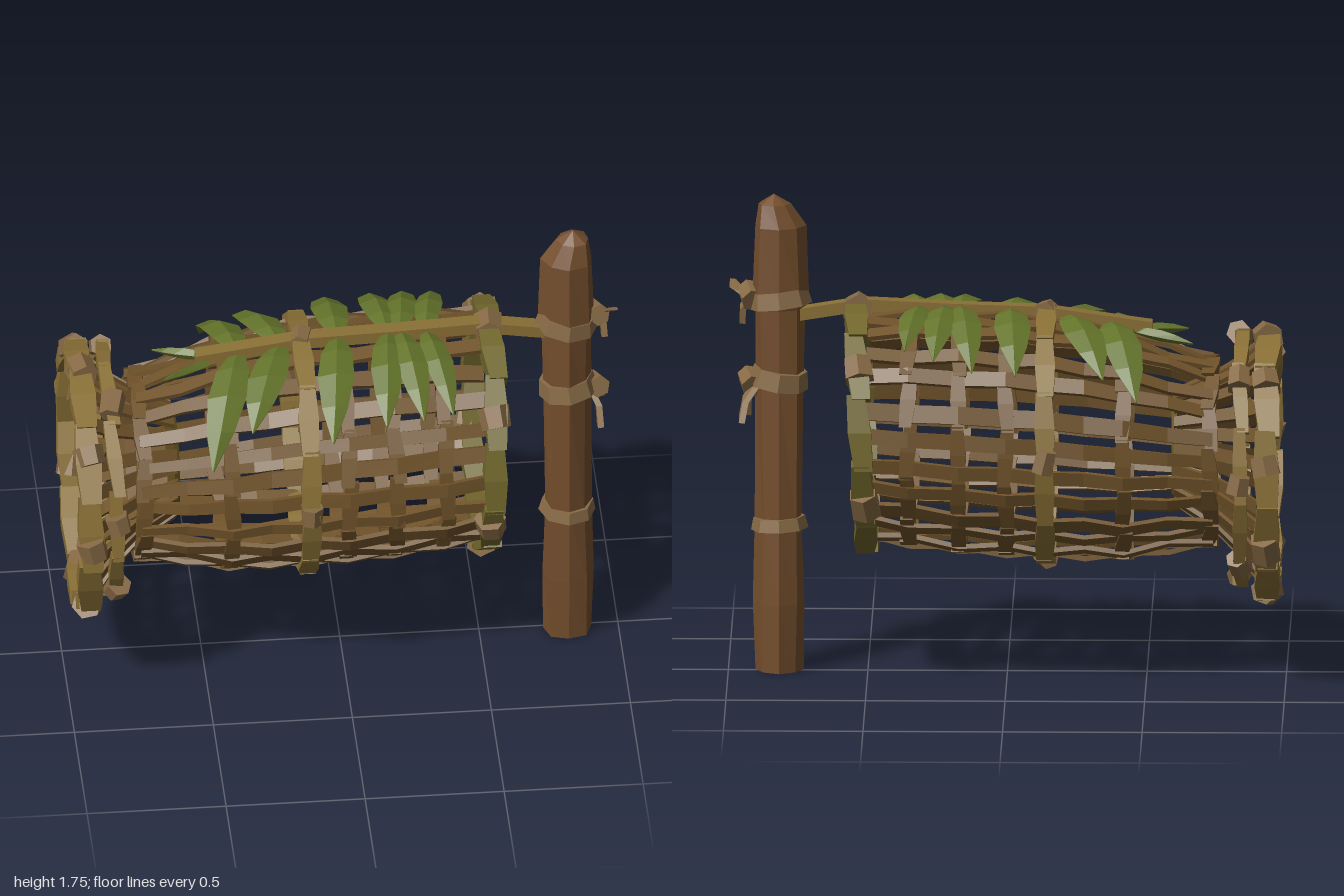
import * as THREE from 'three';
import { mergeGeometries } from 'three/addons/utils/BufferGeometryUtils.js';

const V = (x, y, z) => new THREE.Vector3(x, y, z);
let seed = 7;
const rnd = (a = 1) => { seed = (seed * 16807) % 2147483647; return (seed / 2147483647 - 0.5) * 2 * a; };

const mat = (color) => new THREE.MeshStandardMaterial({ color, flatShading: true, roughness: 0.9 });
const M = {
  slat: mat(0x70532a), hoop: mat(0x71672c), rim: mat(0x8a7036), post: mat(0x744e2d),
  tie: mat(0x876a45), leaf: mat(0x63732a), plug: mat(0x6a5620),
};

// Piecewise linear profiles along the basket axis
const lerpTable = (table, x) => {
  if (x <= table[0][0]) return table[0][1];
  for (let i = 1; i < table.length; i++) {
    const [x0, y0] = table[i - 1], [x1, y1] = table[i];
    if (x <= x1) return y0 + (y1 - y0) * (x - x0) / (x1 - x0);
  }
  return table[table.length - 1][1];
};
const axisY = (x) => lerpTable([[-0.93, 0.77], [-0.74, 0.81], [-0.13, 0.87], [0.52, 0.905]], x);
const bodyR = (x) => lerpTable([[-0.75, 0.33], [-0.58, 0.37], [-0.4, 0.415], [-0.1, 0.435], [0.2, 0.432], [0.52, 0.405]], x);
const radial = (a) => V(0, Math.cos(a), Math.sin(a));
const tangent = (a) => V(0, -Math.sin(a), Math.cos(a));
const at = (x, a, r) => V(x, axisY(x), 0).addScaledVector(radial(a), r);

// Four-sided bar through frames [centre, half width, half thickness]; diamond gives a ridged section
function bar(frames, diamond = false) {
  const pos = [], idx = [], n = frames.length;
  for (const [p, u, v] of frames) {
    const c = diamond ? [[1, 0], [0, 1], [-1, 0], [0, -1]] : [[1, 1], [-1, 1], [-1, -1], [1, -1]];
    for (const [a, b] of c) pos.push(...p.clone().addScaledVector(u, a).addScaledVector(v, b).toArray());
  }
  const [p0, u0, v0] = frames[0];
  const flip = u0.clone().cross(v0).dot(frames[1][0].clone().sub(p0)) < 0;
  const tri = (a, b, c) => (flip ? idx.push(a, c, b) : idx.push(a, b, c));
  for (let i = 0; i < n - 1; i++) for (let k = 0; k < 4; k++) {
    const a = i * 4 + k, b = i * 4 + (k + 1) % 4;
    tri(a, b, b + 4); tri(a, b + 4, a + 4);
  }
  const e = (n - 1) * 4;
  tri(0, 2, 1); tri(0, 3, 2); tri(e, e + 1, e + 2); tri(e, e + 2, e + 3);
  const g = new THREE.BufferGeometry();
  g.setAttribute('position', new THREE.Float32BufferAttribute(pos, 3));
  g.setIndex(idx);
  const flat = g.toNonIndexed();
  flat.computeVertexNormals();
  return flat;
}

// Chunky binding around a bar: short faceted sleeve along an axis
function sleeve(p, axis, r, h, sides = 6) {
  const g = new THREE.CylinderGeometry(r * 0.9, r, h, sides).toNonIndexed();
  g.deleteAttribute('uv');
  g.applyQuaternion(new THREE.Quaternion().setFromUnitVectors(V(0, 1, 0), axis.clone().normalize()));
  return g.translate(p.x, p.y, p.z);
}

// Hoop of overlapping straight splints around the axis; lean shifts x from bottom to top
function hoop(x, r, w, t, sides, lean = 0, jit = 0) {
  const out = [], cy = axisY(x), half = Math.PI / sides * 1.06;
  for (let i = 0; i < sides; i++) {
    const a = (i + 0.5) / sides * Math.PI * 2, dx = rnd(jit), dr = rnd(jit * 0.6);
    out.push(bar([-1, 0, 1].map((s) => {
      const b = a + s * half;
      const p = V(x + dx * s + lean * Math.cos(b), cy, 0).addScaledVector(radial(b), r + dr * s - (s ? 0 : r * (1 - Math.cos(half))));
      const k = s ? 0.85 : 1.1;
      return [p, V(w * k, 0, 0), radial(b).multiplyScalar(t * k)];
    })));
  }
  return out;
}

export function createModel() {
  const root = new THREE.Group();
  const add = (name, geos, material) => {
    const m = new THREE.Mesh(mergeGeometries(geos), material);
    m.name = name;
    root.add(m);
  };

  // Woven body: lengthwise slats passing over and under thin hoops
  const weaveX = [-0.74, -0.58, -0.42, -0.28, -0.13, 0, 0.17, 0.35, 0.5];
  const slats = [], N = 26;
  for (let i = 0; i < N; i++) {
    const a = (i + rnd(0.25)) / N * Math.PI * 2, w = 0.027 + rnd(0.006), twist = rnd(0.06);
    slats.push(bar(weaveX.map((x, k) => {
      const b = a + twist * (k / 8 - 0.5);
      const r = bodyR(x) + ((i + k) % 2 ? 0.01 : -0.01);
      return [at(x, b, r), tangent(b).multiplyScalar(w * (0.75 + 0.25 * Math.min(1, k / 3))), radial(b).multiplyScalar(0.009)];
    })));
  }
  add('bodySlats', slats, M.slat);
  add('weaveHoops', [-0.73, -0.42, 0, 0.17, 0.35].flatMap((x) => hoop(x, bodyR(x), 0.026, 0.018, 14, 0, 0.012)), M.slat);

  // Entrance funnel narrowing into the body, closed by a plug
  const funnel = [];
  for (let i = 0; i < 22; i++) {
    const a = (i + rnd(0.2)) / 22 * Math.PI * 2;
    funnel.push(bar([[-0.9, 0.43, 0.026], [-0.83, 0.35, 0.025], [-0.75, 0.285, 0.023], [-0.6, 0.2, 0.019]].map(([x, r, w]) =>
      [at(x, a, r), tangent(a).multiplyScalar(w), radial(a).multiplyScalar(0.01)])));
  }
  add('funnelSlats', funnel, M.slat);
  add('neckHoop', hoop(-0.735, 0.308, 0.018, 0.016, 14, 0, 0.008), M.slat);
  add('funnelPlug', [sleeve(at(-0.6, 0, 0), V(1, 0, 0), 0.205, 0.02, 14)], M.plug);

  // Thick hoops: double entrance rim, middle hoop and far hoop
  add('entranceRim', [...hoop(-0.935, 0.465, 0.042, 0.03, 11, 0, 0.012), ...hoop(-0.84, 0.445, 0.024, 0.025, 11, 0, 0.014)], M.rim);
  add('middleHoop', hoop(-0.14, 0.455, 0.033, 0.024, 12, 0, 0.006), M.rim);
  add('farHoop', hoop(0.52, 0.425, 0.038, 0.042, 11, 0.02, 0.014), M.hoop);

  // Bindings on the thick hoops
  const knots = [];
  for (const [x, r, size, angles, lean] of [
    [-0.93, 0.46, 0.056, [0, 0.8, 1.55, 2.5, 3.3, 4.2, 4.9, 5.6], 0],
    [-0.835, 0.445, 0.045, [0.4, 1.4, 2.2, 3, 3.9, 4.7, 5.6], 0],
    [-0.14, 0.452, 0.042, [0, 1.57, 3.14, 4.71], 0],
    [0.515, 0.425, 0.058, [0, 0.9, 1.95, 2.8, 4.2, 5.4], 0.02],
  ]) for (const a of angles) {
    const p = at(x, a, r);
    p.x += lean * Math.cos(a);
    knots.push(sleeve(p, tangent(a).add(V(rnd(0.3), 0, 0)), size, 0.08 + rnd(0.015)));
  }
  add('hoopBindings', knots, M.tie);

  // Ridge pole along the top, reaching to the post
  const ridge = [[-0.52, 1.265], [-0.13, 1.32], [0.2, 1.33], [0.52, 1.345], [0.8, 1.3]];
  add('ridgePole', [bar(ridge.map(([x, y]) => [V(x, y, 0), V(0, 0, 0.028), V(0, 0.022, 0)]))], M.rim);

  // Leaves spreading in pairs from the ridge: [base x, tip x, reach angle, half width]
  const leaves = [];
  for (const side of [-1, 1]) {
    for (const [x0, x1, reach, w] of [
      [-0.37, -0.48, 1.07, 0.07], [-0.22, -0.33, 0.88, 0.07], [-0.01, -0.04, 0.95, 0.066], [0.17, 0.12, 0.95, 0.06],
      [0.22, 0.26, 0.9, 0.058], [0.31, 0.38, 0.82, 0.052], [-0.46, -0.66, 0.28, 0.04],
    ]) {
      const dx = rnd(0.02), end = reach + rnd(0.05);
      leaves.push(bar([[0, 0.4], [0.2, 0.85], [0.45, 1], [0.72, 0.72], [1, 0.04]].map(([t, k]) => {
        const x = x0 + (x1 + dx - x0) * t, a = side * (0.03 + (end - 0.03) * t);
        return [at(x, a, bodyR(x) + 0.015 + 0.06 * t), V(w * k, 0, 0), radial(a).multiplyScalar(0.02 * k + 0.002)];
      }), true));
    }
  }
  add('leaves', leaves, M.leaf);

  // Rough-hewn post with a blunt pointed top
  const prof = [[0, 0], [0.086, 0], [0.092, 0.25], [0.084, 0.54], [0.087, 1.05], [0.09, 1.33], [0.102, 1.37], [0.092, 1.63], [0.058, 1.71], [0, 1.745]];
  const post = new THREE.LatheGeometry(prof.map(([r, y]) => new THREE.Vector2(r, y)), 8);
  const pp = post.attributes.position;
  for (let i = 0; i < pp.count; i++) {
    const y = pp.getY(i), a = Math.round(Math.atan2(pp.getZ(i), pp.getX(i)) * 4 / Math.PI);
    const k = 1 + 0.06 * Math.sin((a + 8) % 8 * 2.3 + y * 3);
    pp.setXYZ(i, pp.getX(i) * k + 0.817 + (y > 1.65 ? 0.02 : 0), y, pp.getZ(i) * k * 0.97 + 0.012);
  }
  post.computeVertexNormals();
  add('post', [post], M.post);

  // Rope ties around the post with knots and loose tails
  const ties = [];
  const tail = (a, b, w) => ties.push(bar([a, a.clone().lerp(b, 0.5).add(V(0.012, 0.01, 0)), b].map((p, i) =>
    [p, V(0, 0.4, 0.9).multiplyScalar(w * (0.7 + i * 0.2)), V(0.9, 0.1, 0).multiplyScalar(0.012)])));
  for (const [y, r, h, tilt] of [[1.365, 0.115, 0.06, 0.12], [1.075, 0.108, 0.065, -0.15], [0.54, 0.103, 0.045, 0.05]])
    ties.push(sleeve(V(0.817, y, 0.01), V(tilt, 1, tilt * 0.5), r, h, 8));
  for (const y of [1.375, 1.06]) ties.push(sleeve(V(0.92, y, 0.01), V(0.3, 0.4, 1), 0.045, 0.08));
  tail(V(0.93, 1.37, 0.01), V(0.985, 1.41, 0.04), 0.025);
  tail(V(0.92, 1.36, 0), V(0.95, 1.28, 0.02), 0.022);
  tail(V(0.9, 1.05, 0.02), V(0.93, 0.93, 0.09), 0.024);
  tail(V(0.9, 1.05, -0.02), V(0.95, 0.94, -0.09), 0.024);
  add('postTies', ties, M.tie);

  return root;
}
